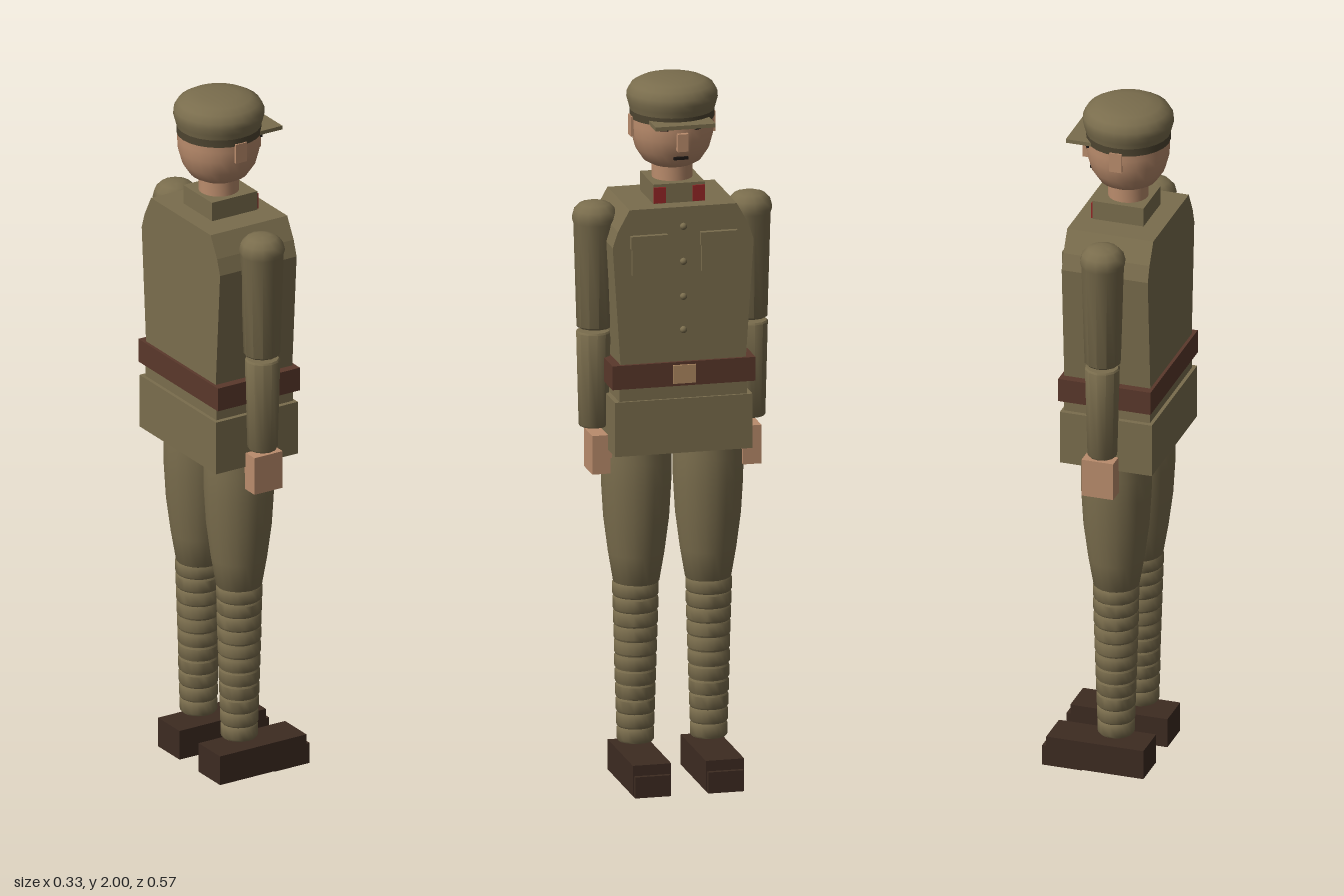
import * as THREE from 'three';
import { toCreasedNormals } from 'three/addons/utils/BufferGeometryUtils.js';

const CX = -0.033; // body axis; the figure looks along +x

export function createModel() {
  const model = new THREE.Group();
  model.name = 'soldier';
  const paint = (name, color) => {
    const m = new THREE.MeshStandardMaterial({ color });
    m.name = name;
    return m;
  };
  const cloth = paint('olive cloth', 0x7a6d4d);
  const band = paint('dark olive', 0x4d4430);
  const skin = paint('skin', 0xba8c6c);
  const leather = paint('brown leather', 0x5a382b);
  const boot = paint('dark boot leather', 0x3d2b21);
  const red = paint('collar red', 0x962626);
  const brass = paint('dull brass', 0xb08a62);
  const dark = paint('near black', 0x1d1714);

  const add = (name, geometry, material, x = 0, y = 0, z = 0) => {
    const mesh = new THREE.Mesh(geometry, material);
    mesh.name = name;
    mesh.position.set(x, y, z);
    model.add(mesh);
    return mesh;
  };
  // Box given by its limits along each axis
  const box = (name, mat, x0, x1, y0, y1, z0, z1) =>
    add(name, new THREE.BoxGeometry(x1 - x0, y1 - y0, Math.abs(z1 - z0)), mat,
      (x0 + x1) / 2, (y0 + y1) / 2, (z0 + z1) / 2);
  // Turned part from [radius, height] pairs, bottom to top
  const turned = (name, mat, profile, z = 0, sides = 24, crease = 0.65) => {
    const points = profile.map(([r, y]) => new THREE.Vector2(r, y));
    return add(name, toCreasedNormals(new THREE.LatheGeometry(points, sides), crease), mat, CX, 0, z);
  };

  // Jacket body with sloping shoulders, extruded from back to front
  const outline = new THREE.Shape();
  [[-0.182, 1.1], [0.182, 1.1], [0.178, 1.22], [0.2, 1.555], [0.185, 1.6], [0.152, 1.66],
    [-0.152, 1.66], [-0.185, 1.6], [-0.2, 1.555], [-0.178, 1.22]]
    .forEach(([z, y], i) => (i ? outline.lineTo(z, y) : outline.moveTo(z, y)));
  const torso = new THREE.ExtrudeGeometry(outline, { depth: 0.25, bevelEnabled: false });
  torso.rotateY(Math.PI / 2);
  add('jacket', torso, cloth, -0.157);
  box('jacketSkirt', cloth, -0.167, 0.1, 0.96, 1.115, -0.195, 0.195);
  box('belt', leather, -0.166, 0.102, 1.152, 1.22, -0.203, 0.203);
  box('buckle', brass, 0.09, 0.108, 1.16, 1.212, -0.032, 0.032);
  for (const y of [1.605, 1.505, 1.405, 1.31])
    add('button', new THREE.SphereGeometry(0.01, 10, 8), cloth, 0.096, y, 0);

  // Neck and collar
  turned('neck', skin, [[0.056, 1.68], [0.056, 1.78]]);
  box('collar', cloth, -0.102, 0.046, 1.65, 1.715, -0.073, 0.073);

  // Head and face
  turned('head', skin, [[0, 1.743], [0.045, 1.748], [0.08, 1.767], [0.102, 1.8],
    [0.113, 1.84], [0.115, 1.87], [0.114, 1.91]], 0, 24, 1);
  box('nose', skin, 0.06, 0.095, 1.817, 1.867, -0.015, 0.015);
  box('moustache', dark, 0.05, 0.072, 1.788, 1.796, -0.02, 0.02);

  // Peaked cap
  turned('capBand', band, [[0, 1.888], [0.117, 1.888], [0.117, 1.916]]);
  turned('capCrown', cloth, [[0.116, 1.906], [0.121, 1.925], [0.126, 1.943], [0.125, 1.96],
    [0.113, 1.98], [0.09, 1.993], [0.055, 1.999], [0, 2]], 0, 24, 1);
  box('capVisor', cloth, 0.02, 0.12, 1.888, 1.899, -0.085, 0.085);

  // Puttee wraps: a stack of slightly bulging rings
  const wraps = [];
  const count = 11;
  for (let i = 0; i < count; i++) {
    const y = 0.112 + i * 0.0415;
    const r = 0.05 + 0.0125 * (i / (count - 1));
    wraps.push([r - 0.002, y], [r + 0.002, y + 0.006], [r + 0.002, y + 0.036], [r - 0.002, y + 0.0415]);
  }

  for (const s of [1, -1]) {
    const side = s > 0 ? 'right' : 'left';
    const part = (name) => side + name;

    // Face, collar and pocket details
    const eye = add(part('Eye'), new THREE.BoxGeometry(0.012, 0.009, 0.036), dark, 0.067, 1.878, s * 0.053);
    eye.rotation.y = -s * 0.48;
    box(part('Ear'), skin, -0.053, -0.018, 1.838, 1.895, s * 0.1, s * 0.12);
    box(part('CollarTab'), red, 0.04, 0.051, 1.662, 1.707, s * 0.038, s * 0.072);
    box(part('Pocket'), cloth, 0.09, 0.103, 1.475, 1.58, s * 0.051, s * 0.147);
    box(part('PocketFlap'), cloth, 0.09, 0.108, 1.55, 1.587, s * 0.047, s * 0.151);

    // Arm
    turned(part('UpperArm'), cloth, [[0, 1.3], [0.046, 1.3], [0.051, 1.305], [0.06, 1.6],
      [0.064, 1.612], [0.058, 1.635], [0.042, 1.651], [0.022, 1.657], [0, 1.658]], s * 0.22, 12, 0.8);
    turned(part('Forearm'), cloth, [[0, 1.018], [0.038, 1.018], [0.042, 1.024],
      [0.049, 1.285], [0.045, 1.29], [0, 1.29]], s * 0.223, 12, 0.8);
    box(part('Hand'), skin, -0.07, 0.022, 0.892, 1.002, s * 0.188, s * 0.24);
    box(part('Thumb'), skin, -0.015, 0.018, 0.935, 0.998, s * 0.174, s * 0.196);

    // Leg
    turned(part('Thigh'), cloth, [[0, 0.563], [0.06, 0.563], [0.064, 0.568], [0.078, 0.65],
      [0.091, 0.75], [0.097, 0.85], [0.098, 0.92], [0.094, 0.97]], s * 0.102, 20, 0.8);
    turned(part('Puttee'), cloth, [[0, 0.112], ...wraps], s * 0.104, 20, 0.8);
    box(part('Shoe'), boot, -0.13, 0.152, 0.004, 0.09, s * 0.049, s * 0.158);
    box(part('ShoeToe'), boot, 0.05, 0.165, 0, 0.06, s * 0.053, s * 0.154);
  }
  return model;
}
